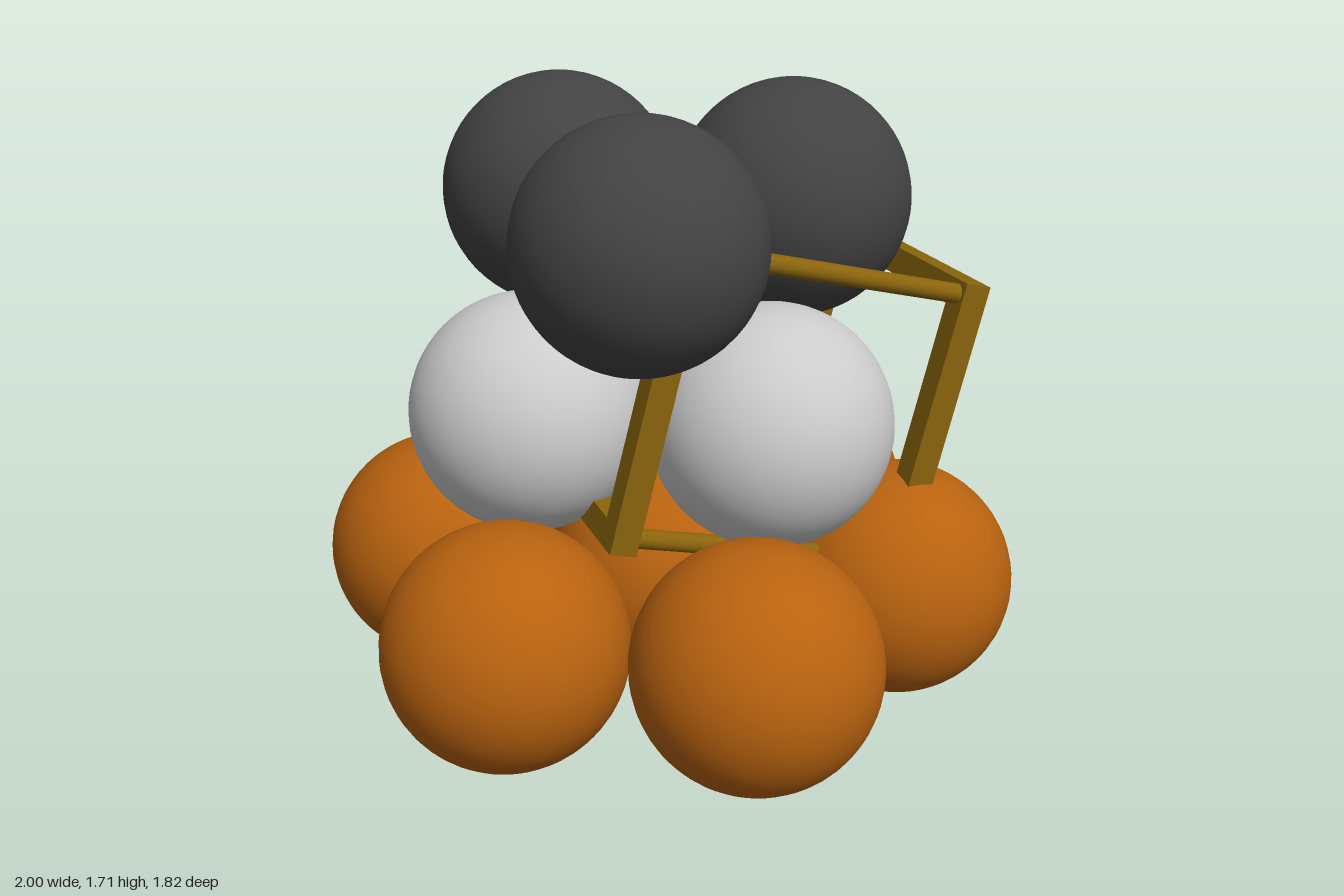
import * as THREE from 'three';

const R = 0.333;

export function createModel() {
  const model = new THREE.Group();
  const mat = (color) => new THREE.MeshStandardMaterial({ color });
  const orange = mat(0xb8620f), grey = mat(0xcccccc), dark = mat(0x434343), bronze = mat(0x8a640c);

  const ballGeo = new THREE.SphereGeometry(R, 48, 32);
  const addBall = (parent, name, material, x, y, z) => {
    const ball = new THREE.Mesh(ballGeo, material);
    ball.name = name;
    ball.position.set(x, y, z);
    parent.add(ball);
  };

  // Bottom layer: one ball ringed by six
  const bottom = new THREE.Group();
  bottom.name = 'bottomLayer';
  addBall(bottom, 'bottomCentreBall', orange, 0, R, 0);
  for (let i = 0; i < 6; i++) {
    const a = (i * Math.PI) / 3;
    addBall(bottom, 'bottomRingBall', orange, 2 * R * Math.cos(a), R, 2 * R * Math.sin(a));
  }
  model.add(bottom);

  // Middle and top layers: triangles of three balls, pointing opposite ways
  const addTriangle = (name, material, y, x, z, dir) => {
    const layer = new THREE.Group();
    layer.name = name + 'Layer';
    for (let i = 0; i < 3; i++) {
      const a = (i * 2 * Math.PI) / 3, d = (2 * R) / Math.sqrt(3);
      addBall(layer, name + 'Ball', material, x + d * Math.sin(a), y, z + dir * d * Math.cos(a));
    }
    model.add(layer);
  };
  addTriangle('middle', grey, 0.847, 0.007, -0.022, 1);
  addTriangle('top', dark, 1.38, 0.017, -0.018, -1);

  // Tilted cell: two square bar frames joined by four round rods
  const cell = new THREE.Group();
  cell.name = 'unitCell';
  cell.rotation.order = 'YXZ';
  cell.rotation.set(THREE.MathUtils.degToRad(14.25), Math.PI / 3, 0);
  cell.position.set(0.198, 0.899, 0.114);
  const half = 0.39, depth = 0.415, t = 0.075;
  const long = new THREE.BoxGeometry(2 * half + t, t, t);
  const upright = new THREE.BoxGeometry(t, 2 * half - t, t);
  const rodGeo = new THREE.CylinderGeometry(0.027, 0.027, 2 * depth, 24).rotateX(Math.PI / 2);
  const addPart = (geo, name, x, y, z) => {
    const part = new THREE.Mesh(geo, bronze);
    part.name = name;
    part.position.set(x, y, z);
    cell.add(part);
  };
  for (const s of [-1, 1]) {
    for (const e of [-1, 1]) {
      addPart(long, 'frameCrossbar', 0, s * half, e * depth);
      addPart(upright, 'frameUpright', s * half, 0, e * depth);
      addPart(rodGeo, 'connectingRod', s * half, e * half, 0);
    }
  }
  model.add(cell);

  return model;
}
